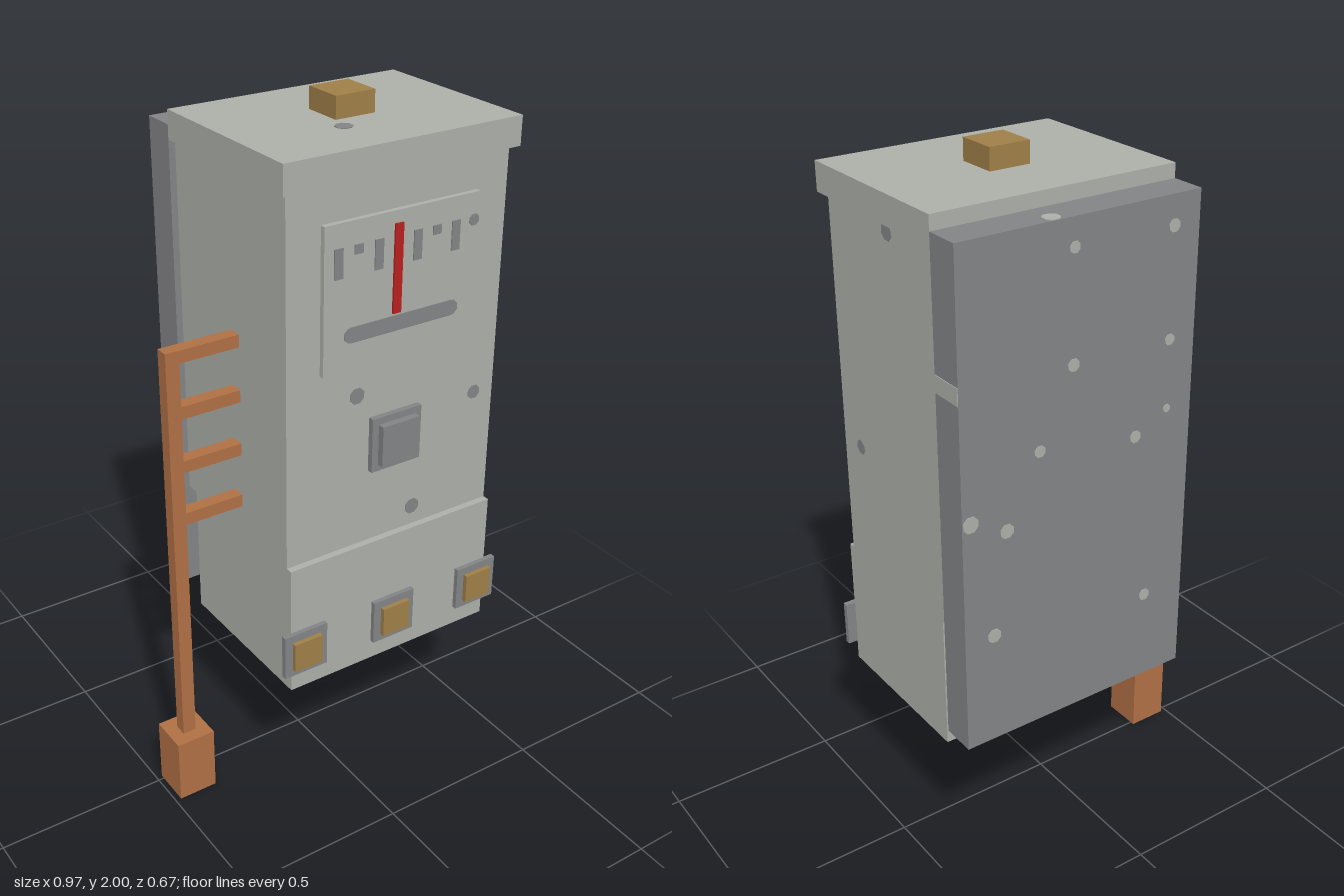
import * as THREE from 'three';

const mat = (name, color) => {
  const m = new THREE.MeshStandardMaterial({ color });
  m.name = name;
  return m;
};

export function createModel() {
  const root = new THREE.Group();
  root.name = 'meterCabinet';
  const paleGrey = mat('paleGrey', 0xacb0a9);
  const darkGrey = mat('darkGrey', 0x838486);
  const copper = mat('copper', 0xb07045);
  const brass = mat('brass', 0x9f7f48);
  const red = mat('red', 0xb81f1f);

  // Box given by its minimum and maximum on each axis
  const box = (name, m, [x0, x1], [y0, y1], [z0, z1]) => {
    const mesh = new THREE.Mesh(new THREE.BoxGeometry(x1 - x0, y1 - y0, z1 - z0), m);
    mesh.position.set((x0 + x1) / 2, (y0 + y1) / 2, (z0 + z1) / 2);
    mesh.name = name;
    root.add(mesh);
    return mesh;
  };
  // Thin octagonal fleck facing along the given direction
  const fleck = (name, m, pos, dir, r = 0.024) => {
    const geo = new THREE.CylinderGeometry(r, r, 0.004, 8);
    geo.rotateY(Math.PI / 8);
    const mesh = new THREE.Mesh(geo, m);
    mesh.quaternion.setFromUnitVectors(new THREE.Vector3(0, 1, 0), new THREE.Vector3(...dir));
    mesh.position.set(...pos);
    mesh.name = name;
    root.add(mesh);
  };

  // Cabinet
  const bodyX = [-0.228, 0.452];
  box('upperBody', paleGrey, bodyX, [0.82, 1.86], [-0.235, 0.285]);
  box('lowerBody', paleGrey, bodyX, [0.425, 0.82], [-0.195, 0.305]);
  box('cap', paleGrey, [-0.247, 0.472], [1.86, 1.94], [-0.235, 0.305]);
  box('topKnob', brass, [0.054, 0.174], [1.94, 2], [-0.035, 0.083]);
  box('backPanel', darkGrey, [-0.247, 0.472], [0.5, 1.9], [-0.335, -0.235]);
  box('panelStripe', paleGrey, [0.471, 0.474], [1.505, 1.552], [-0.335, -0.235]);

  // Round outlet underneath
  const outlet = new THREE.Mesh(new THREE.CylinderGeometry(0.078, 0.078, 0.06, 16), darkGrey);
  outlet.position.set(0.112, 0.395, 0.028);
  outlet.name = 'bottomOutlet';
  root.add(outlet);

  // Gauge plate with ticks, base bar and needle
  box('gaugePlate', paleGrey, [-0.127, 0.352], [1.363, 1.763], [0.285, 0.3]);
  const gaugeZ = [0.299, 0.303];
  [-0.085, -0.025, 0.037, 0.157, 0.217, 0.278].forEach((x, i) => {
    const short = i === 1 || i === 4;
    box('gaugeTick', darkGrey, [x - 0.013, x + 0.013], [short ? 1.675 : 1.62, 1.7], gaugeZ);
  });
  fleck('gaugeFleck', darkGrey, [0.336, 1.69, 0.301], [0, 0, 1], 0.016);
  box('gaugeBar', darkGrey, [-0.045, 0.275], [1.44, 1.483], gaugeZ);
  for (const x of [-0.045, 0.275]) fleck('gaugeBarEnd', darkGrey, [x, 1.4615, 0.301], [0, 0, 1], 0.0215);
  box('needle', red, [0.083, 0.108], [1.49, 1.73], [0.299, 0.306]);

  // Middle button
  box('buttonPlate', darkGrey, [0.032, 0.192], [1.04, 1.2], [0.285, 0.302]);
  box('button', darkGrey, [0.052, 0.172], [1.06, 1.18], [0.302, 0.322]);

  // Three terminals along the foot of the cabinet
  for (const x of [-0.187, 0.112, 0.412]) {
    box('terminalPlate', darkGrey, [x - 0.069, x + 0.069], [0.485, 0.62], [0.303, 0.319]);
    box('terminal', brass, [x - 0.045, x + 0.045], [0.507, 0.597], [0.319, 0.333]);
  }

  // Copper earth rod with rungs and foot
  const rodZ = [0.025, 0.064];
  box('rod', copper, [-0.445, -0.405], [0.2, 1.42], rodZ);
  for (const y of [0.922, 1.082, 1.242, 1.402]) {
    box('rung', copper, [-0.405, -0.226], [y - 0.018, y + 0.018], rodZ);
  }
  box('rodFoot', copper, [-0.485, -0.367], [0, 0.2], [-0.015, 0.103]);

  // Worn flecks on the front, side and top
  fleck('frontFleck', darkGrey, [-0.01, 1.275, 0.285], [0, 0, 1]);
  fleck('frontFleck', darkGrey, [0.386, 1.178, 0.285], [0, 0, 1], 0.021);
  fleck('frontFleck', darkGrey, [0.186, 0.878, 0.285], [0, 0, 1]);
  fleck('sideFleck', darkGrey, [0.452, 1.835, -0.005], [1, 0, 0]);
  fleck('sideFleck', darkGrey, [0.452, 1.178, 0.195], [1, 0, 0], 0.021);
  fleck('topFleck', darkGrey, [0.039, 1.94, 0.139], [0, 1, 0]);
  fleck('panelTopFleck', paleGrey, [0.19, 1.9, -0.311], [0, 1, 0]);

  // Pale flecks on the back panel: x, y, radius
  [[0.138, 1.825, 0.016], [-0.166, 1.82, 0.018], [0.138, 1.526, 0.018], [-0.166, 1.52, 0.016],
    [0.239, 1.32, 0.017], [0.447, 1.18, 0.024], [0.34, 1.127, 0.021], [-0.064, 1.273, 0.018],
    [-0.166, 1.327, 0.012], [0.383, 0.83, 0.021], [-0.115, 0.77, 0.018],
  ].forEach(([x, y, r]) => fleck('backFleck', paleGrey, [x, y, -0.335], [0, 0, -1], r));

  // Centre the footprint
  const box3 = new THREE.Box3().setFromObject(root);
  const c = box3.getCenter(new THREE.Vector3());
  root.children.forEach((o) => { o.position.x -= c.x; o.position.z -= c.z; });
  return root;
}
